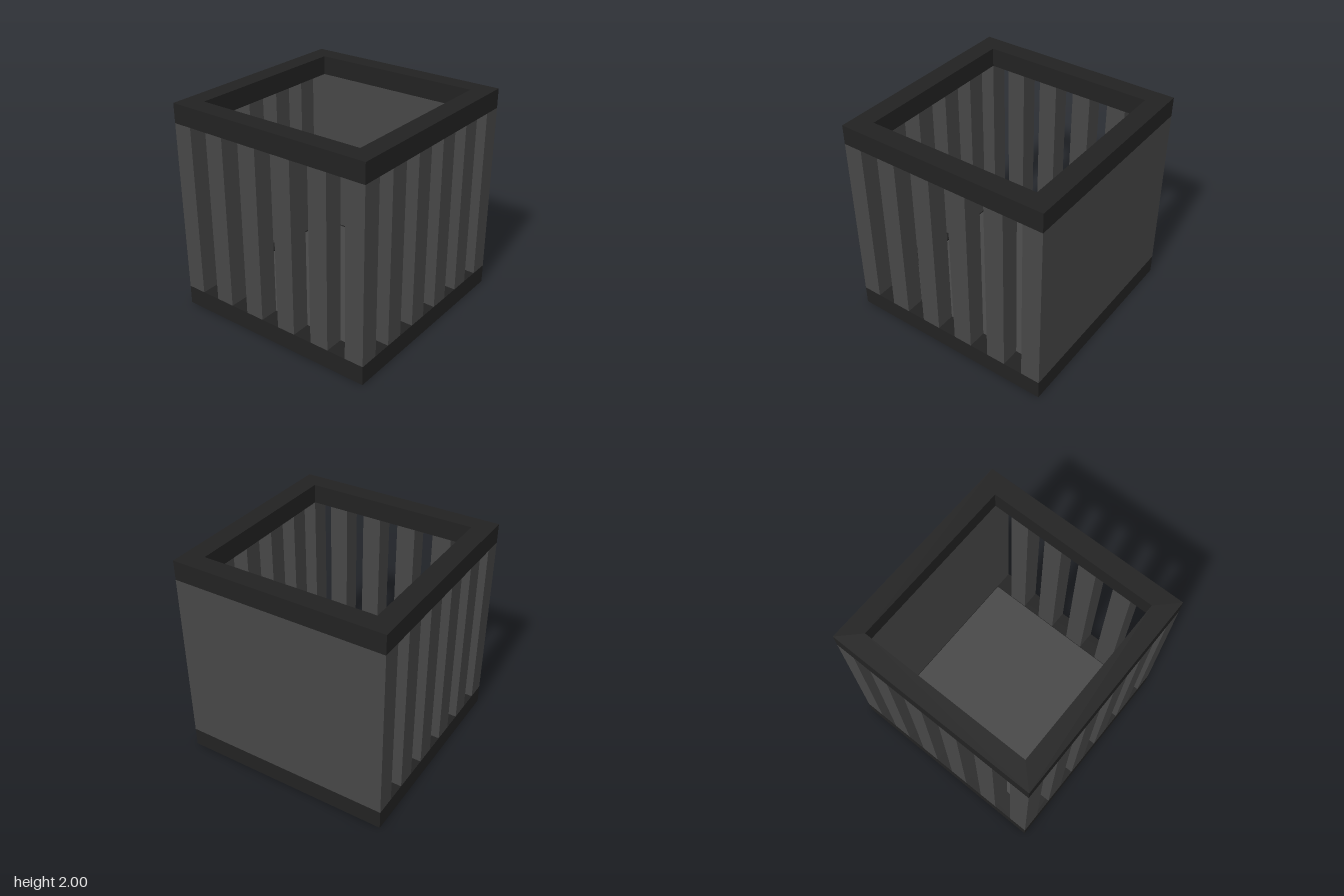
import * as THREE from 'three';

const N = 11;            // grid cells per side
const U = 2 / N;         // bar and rim thickness
const INNER = 1 - U;     // half width of the opening

export function createModel() {
  const model = new THREE.Group();
  model.name = 'slattedCrate';

  const rimMat = new THREE.MeshStandardMaterial({ color: 0x222222 });
  rimMat.name = 'darkRim';
  const slatMat = new THREE.MeshStandardMaterial({ color: 0x464646 });
  slatMat.name = 'greySlat';

  function add(name, geometry, material, x, y, z) {
    const mesh = new THREE.Mesh(geometry, material);
    mesh.name = name;
    mesh.position.set(x, y, z);
    model.add(mesh);
    return mesh;
  }

  function square(Type, h) {
    return new Type([
      new THREE.Vector2(-h, -h), new THREE.Vector2(h, -h),
      new THREE.Vector2(h, h), new THREE.Vector2(-h, h),
    ]);
  }

  // Square rims at the bottom and the top
  const outline = square(THREE.Shape, 1);
  outline.holes.push(square(THREE.Path, INNER));
  const rim = new THREE.ExtrudeGeometry(outline, { depth: U, bevelEnabled: false });
  rim.rotateX(-Math.PI / 2);
  add('bottomRim', rim, rimMat, 0, 0, 0);
  add('topRim', rim, rimMat, 0, 2 - U, 0);

  // Floor, slightly recessed in the bottom rim on both faces
  add('floor', new THREE.BoxGeometry(2 * INNER, U - 0.024, 2 * INNER), slatMat, 0, U / 2, 0);

  // Solid back wall, flush with the rims
  const wallHeight = 2 - 2 * U;
  add('backWall', new THREE.BoxGeometry(2, wallHeight, U), slatMat, 0, 1, -1 + U / 2);

  // Square bars in every other cell of the front and both sides
  const bar = new THREE.BoxGeometry(U, wallHeight, U);
  const edge = 1 - U / 2;
  for (let i = 0; i < N; i += 2) {
    const p = -edge + i * U;
    add('frontBar', bar, slatMat, p, 1, edge);
    if (i > 0 && i < N - 1) {
      for (const side of [-1, 1]) add('sideBar', bar, slatMat, side * edge, 1, p);
    }
  }

  return model;
}
